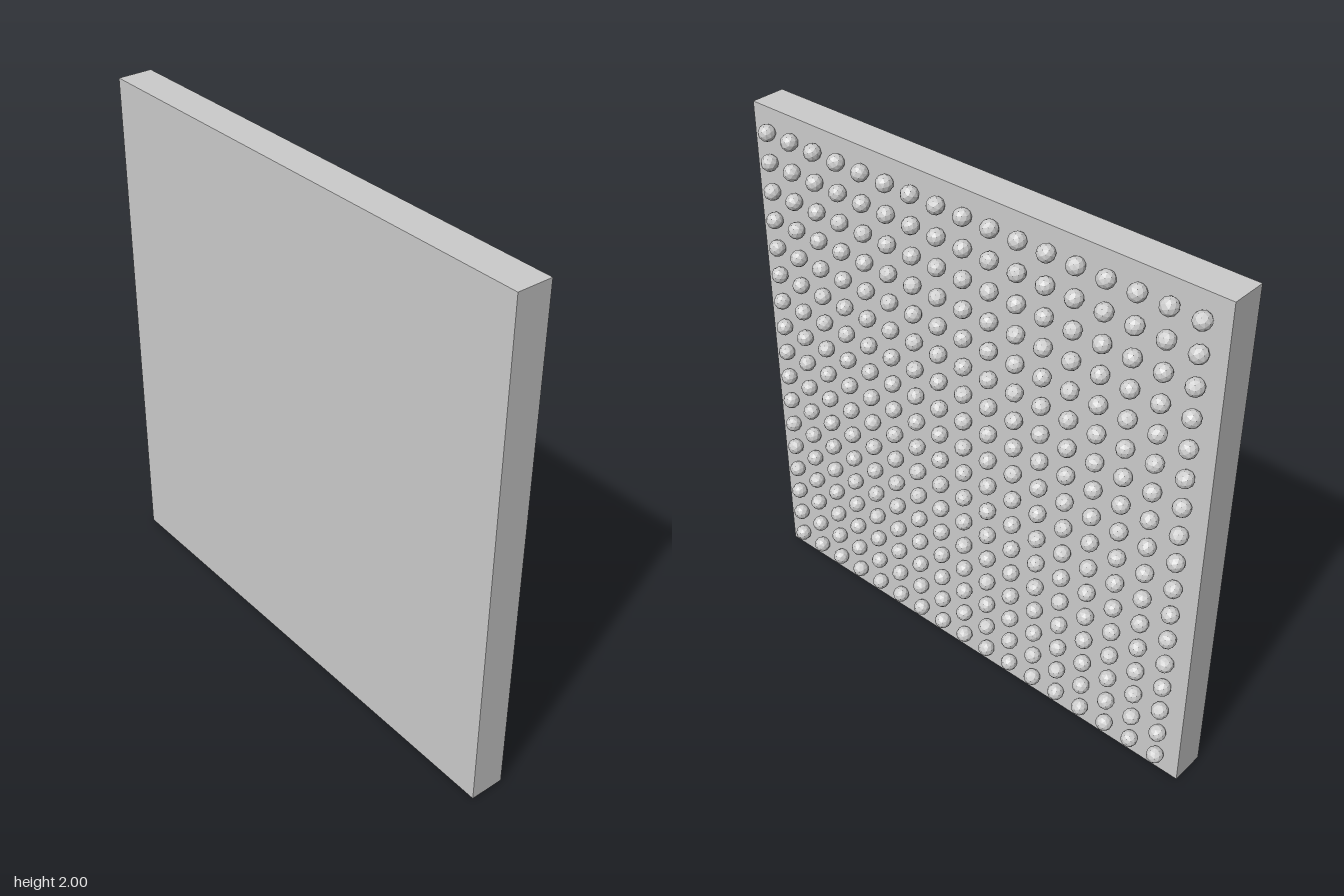
import * as THREE from 'three';

export function createModel() {
  const group = new THREE.Group();
  group.name = 'studdedPanel';
  const material = new THREE.MeshStandardMaterial({ color: 0xcccccc, flatShading: true });

  // Flat square slab
  const backZ = -0.041, frontZ = 0.094;
  const panel = new THREE.Mesh(new THREE.BoxGeometry(2, 2, frontZ - backZ), material);
  panel.name = 'panel';
  panel.position.set(0, 1, (frontZ + backZ) / 2);
  group.add(panel);

  // Small faceted stones, slightly sunk into the back in a square grid
  const count = 17, pitch = 0.1143, radius = 0.032;
  const studGeometry = new THREE.IcosahedronGeometry(radius, 1);
  const studs = new THREE.Group();
  studs.name = 'studs';
  for (let row = 0; row < count; row++) {
    for (let col = 0; col < count; col++) {
      const stud = new THREE.Mesh(studGeometry, material);
      stud.name = 'stud';
      stud.position.set((col - (count - 1) / 2) * pitch, 1 + (row - (count - 1) / 2) * pitch, -0.064);
      // Vary the facet directions from stone to stone
      stud.rotation.set(row * 1.7 + col * 0.6, col * 2.3, row * 0.9);
      studs.add(stud);
    }
  }
  group.add(studs);
  return group;
}
